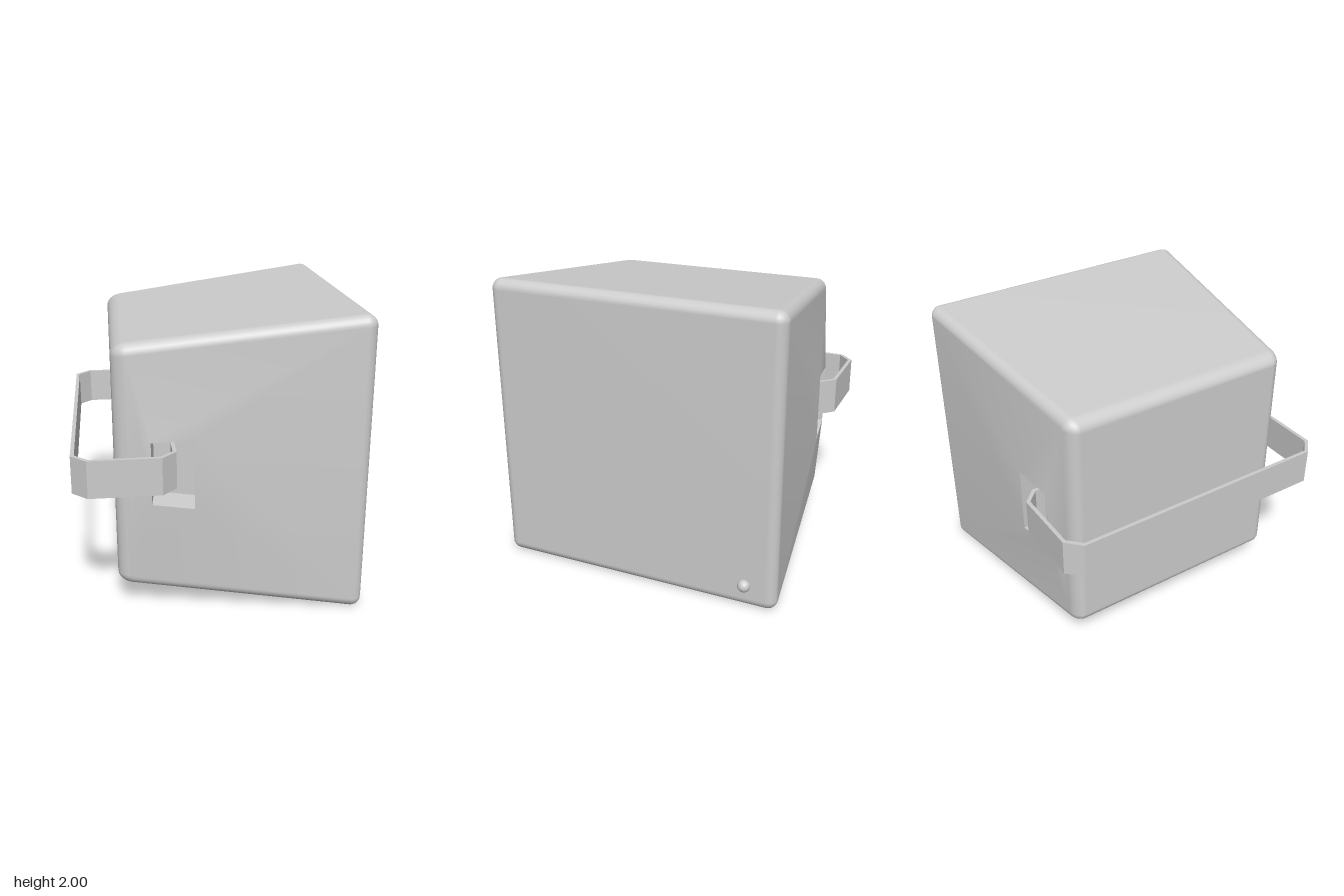
import * as THREE from 'three';
import { mergeVertices } from 'three/addons/utils/BufferGeometryUtils.js';

const material = new THREE.MeshStandardMaterial({ color: 0xcccccc });
const STEPS = 6; // segments in each rounded edge

// Half height and half depth of the tapered body at x
const half = (x) => Math.min(1, 1 + 0.119 * (x - 0.85));

// Slot corners around the mid height, counter-clockwise from the right top: x, y, z
const slotRim = [[-0.2, 0.238, 0.927], [-0.47, 0.21, 0.893], [-0.47, -0.21, 0.893], [-0.2, -0.238, 0.927]];
const slotFloor = slotRim.map(([x, y, z]) => [x + 0.025, y - Math.sign(y) * 0.015, z - 0.18]);

// Skins a list of equal closed loops with quads
function loft(loops) {
  const n = loops[0].length;
  const index = [];
  for (let i = 0; i < loops.length - 1; i++) {
    for (let j = 0; j < n; j++) {
      const a = i * n + j, b = i * n + (j + 1) % n;
      index.push(a, b, b + n, a, b + n, a + n);
    }
  }
  const geometry = new THREE.BufferGeometry();
  geometry.setAttribute('position', new THREE.Float32BufferAttribute(loops.flat(2), 3));
  geometry.setIndex(index);
  return geometry;
}

// One loop of the rounded, tapered box; a is the latitude, side is the sign of z
function bodyLoop(a, side) {
  const loop = [];
  for (let corner = 0; corner < 4; corner++) {
    const right = corner === 0 || corner === 3;
    const top = corner < 2 ? 1 : -1;
    const r = right ? 0.07 : 0.09;
    for (let k = 0; k <= STEPS; k++) {
      const t = (corner + k / STEPS) * Math.PI / 2;
      const x = (right ? 0.92 - r : -0.7 + r) + r * Math.cos(a) * Math.cos(t);
      const v = top * (1 - r) + r * Math.cos(a) * Math.sin(t);
      const w = side * (1 - r + r * Math.sin(a));
      loop.push([x, 1 + v * half(x), w * half(x)]);
    }
  }
  return loop;
}

// Slot rim with as many points as a body loop
const rimLoop = (side) => slotRim.flatMap(([x, y, z]) =>
  Array.from({ length: STEPS + 1 }, () => [x, 1 + y, side * z]));

function bodyGeometry() {
  const loops = [rimLoop(-1)];
  for (let i = STEPS; i >= 0; i--) loops.push(bodyLoop(i / STEPS * Math.PI / 2, -1));
  for (let i = 0; i <= STEPS; i++) loops.push(bodyLoop(i / STEPS * Math.PI / 2, 1));
  loops.push(rimLoop(1));
  const geometry = mergeVertices(loft(loops), 1e-5);
  // Drop the triangles that collapsed at the shared corners
  const old = geometry.index.array, index = [];
  for (let i = 0; i < old.length; i += 3) {
    const [a, b, c] = old.slice(i, i + 3);
    if (a !== b && b !== c && c !== a) index.push(a, b, c);
  }
  geometry.setIndex(index);
  geometry.computeVertexNormals();
  return geometry;
}

// Recess walls and floor with sharp edges
function slotGeometry() {
  const geometry = loft([slotRim, slotFloor]);
  geometry.setIndex([...geometry.index.array, 4, 5, 6, 4, 6, 7]);
  const flat = geometry.toNonIndexed();
  flat.computeVertexNormals();
  return flat;
}

// Flat strap bent around the narrow end, both ends entering the slots
function handleGeometry() {
  const outer = [[-0.31, 0.73], [-0.31, 0.9], [-0.405, 0.995], [-0.87, 0.995], [-0.97, 0.9]];
  const inner = [[-0.335, 0.73], [-0.335, 0.89], [-0.415, 0.97], [-0.86, 0.97], [-0.945, 0.888]];
  const mirrored = (points) => points.map(([x, z]) => [x, -z]).reverse();
  const outline = [...outer, ...mirrored(outer), ...inner.slice(), ...[]].slice(0, 10)
    .concat(inner.map(([x, z]) => [x, -z]), [...inner].reverse());
  const shape = new THREE.Shape(outline.map(([x, z]) => new THREE.Vector2(x, z)));
  const geometry = new THREE.ExtrudeGeometry(shape, { depth: 0.25, bevelEnabled: false });
  return geometry.rotateX(Math.PI / 2).translate(0, 1.15, 0);
}

export function createModel() {
  const group = new THREE.Group();
  const add = (name, geometry) => {
    const mesh = new THREE.Mesh(geometry, material);
    mesh.name = name;
    group.add(mesh);
    return mesh;
  };

  add('body', bodyGeometry());

  // The back slot is the front one turned half around the x axis
  const slot = slotGeometry();
  add('frontSlot', slot).position.y = 1;
  const backSlot = add('backSlot', slot);
  backSlot.position.y = 1;
  backSlot.rotation.x = Math.PI;

  add('handle', handleGeometry());

  // Small button low on the wide face
  add('button', new THREE.SphereGeometry(0.043, 24, 16)).position.set(0.923, 0.165, -0.79);

  return group;
}
